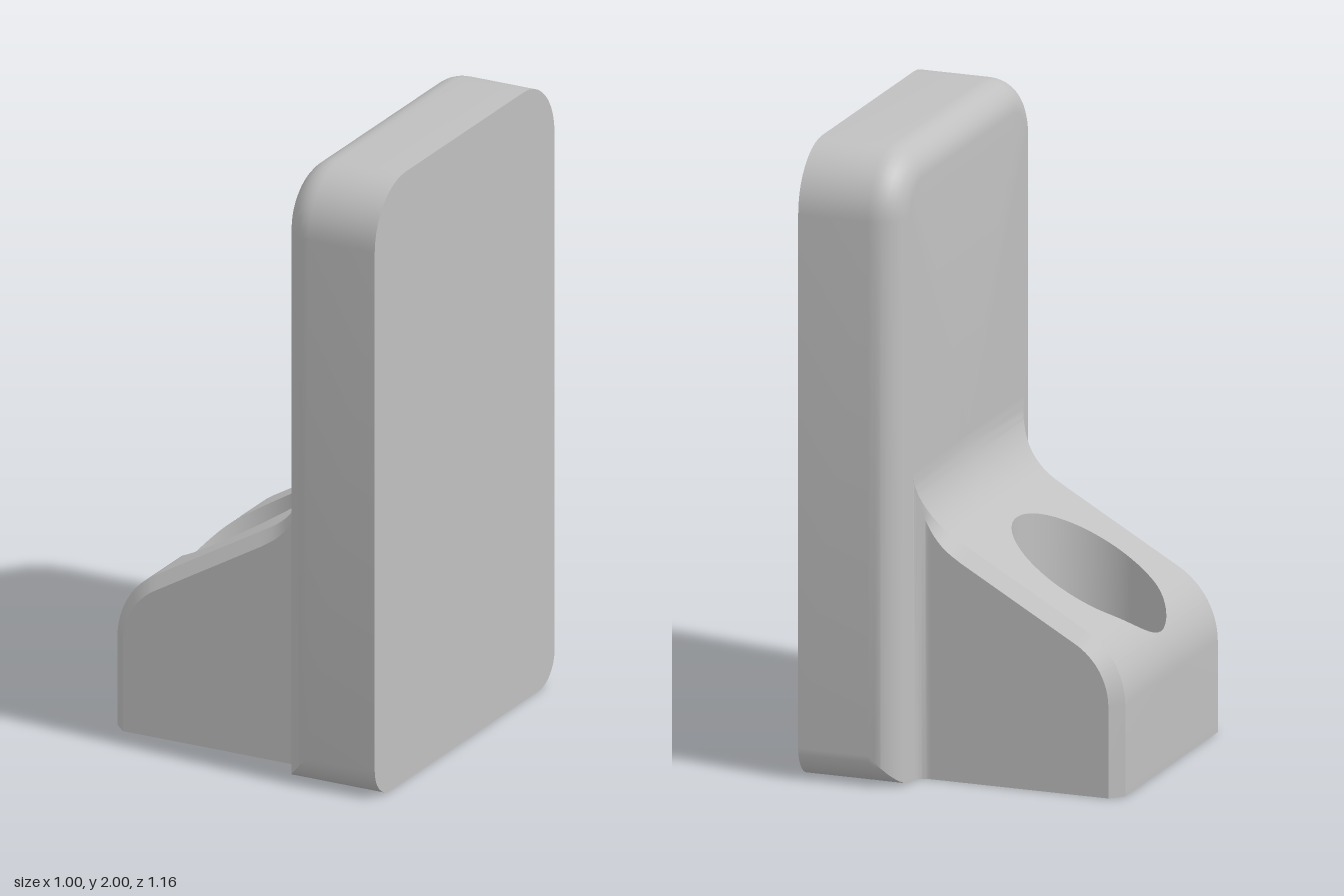
import * as THREE from 'three';
import { toCreasedNormals } from 'three/addons/utils/BufferGeometryUtils.js';

// Skin a list of equal-length point rows; the outside is on the side of column x row.
function skin(rows, { closed = false, mirror = false } = {}) {
  const out = [];
  const tri = (a, b, c) => {
    const [A, B, C] = [a, b, c].map((p) => new THREE.Vector3(...p));
    if (B.clone().sub(A).cross(C.clone().sub(A)).length() < 1e-9) return;
    out.push(...a, ...b, ...c);
    if (mirror) for (const p of [a, c, b]) out.push(p[0], p[1], -p[2]);
  };
  for (let i = 0; i + 1 < rows.length; i++) {
    const r = rows[i], s = rows[i + 1], n = r.length;
    for (let j = 0; j < (closed ? n : n - 1); j++) {
      const k = (j + 1) % n;
      tri(r[j], r[k], s[j]);
      tri(r[k], s[k], s[j]);
    }
  }
  const g = new THREE.BufferGeometry();
  g.setAttribute('position', new THREE.Float32BufferAttribute(out, 3));
  return toCreasedNormals(g, 0.5);
}

const steps = (n, f) => Array.from({ length: n + 1 }, (_, i) => f(i / n));

// Upright plate: sides and top rounded towards -x, lower corners rounded along x.
const HALF = 0.58, FRONT = 0.17, ROUND = 0.1;
function plateGeometry() {
  const outline = (x, d) => {
    const tMax = Math.asin(Math.max(0, 1 - d / ROUND));
    const half = [
      ...steps(8, (t) => [HALF - ROUND + ROUND * Math.sin(t * tMax), ROUND - ROUND * Math.cos(t * tMax)]),
      ...steps(10, (t) => {
        const a = t * Math.PI / 2, r = 0.2 - d;
        return [HALF - 0.2 + r * Math.cos(a), 1.8 + r * Math.sin(a)];
      }),
    ];
    return [...half, ...half.map(([z, y]) => [-z, y]).reverse()].map(([z, y]) => [x, y, z]);
  };
  const back = outline(0.5, 0);
  const rounded = steps(8, (t) => {
    const a = t * Math.PI / 2;
    return outline(FRONT + ROUND * (1 - Math.sin(a)), ROUND * (1 - Math.cos(a)));
  });
  return skin([
    back.map(() => [0.5, 1, 0]), back, ...rounded, back.map(() => [FRONT, 1, 0]),
  ], { closed: true });
}

// Foot profile: convex arc, 30 degree slope, concave arc into the plate.
const R = 0.26, ARC_Y = 0.29, SLOPE = Math.tan(Math.PI / 6);
const X0 = -0.5, X1 = -0.37, X2 = 0.04;
const Y1 = ARC_Y + R * Math.sin(Math.PI / 3), Y2 = Y1 + (X2 - X1) * SLOPE;
const HOLE_X = -0.228, HOLE_R = 0.237, HOLE_FLOOR = 0.2;
const SIDE = 0.425, CHAMFER = 0.04;

function profile(x) {
  if (x < X1) {
    const nx = (x - (X0 + R)) / R, ny = Math.sqrt(Math.max(0, 1 - nx * nx));
    return { y: ARC_Y + R * ny, nx, ny };
  }
  if (x < X2) return { y: Y1 + (x - X1) * SLOPE, nx: -0.5, ny: Math.sqrt(0.75) };
  const cx = FRONT - R, cy = Y2 + R * Math.sin(Math.PI / 3);
  const nx = -(x - cx) / R, ny = Math.sqrt(Math.max(0, 1 - nx * nx));
  return { y: cy - R * ny, nx, ny };
}
const holeHalf = (x) => Math.sqrt(Math.max(0, HOLE_R ** 2 - (x - HOLE_X) ** 2));

// Small fillet widening the foot where it meets the plate
const flare = (x) => {
  const u = Math.min(0.04, Math.max(0, x - (FRONT - 0.04)));
  return 0.04 - Math.sqrt(0.0016 - u * u);
};

function footGeometries() {
  const holeXs = steps(32, (t) => HOLE_X - HOLE_R * Math.cos(t * Math.PI));
  const xs = [
    ...steps(12, (t) => X0 + R - R * Math.cos(t * Math.PI / 3)),
    ...holeXs,
    ...steps(16, (t) => FRONT - R + R * Math.cos((1 - t) * Math.PI / 3)),
  ].sort((a, b) => a - b);

  // Half section: hole rim, top edge, chamfer edge, side foot, floor centre
  const section = (x, { y, nx, ny }) => {
    const c = CHAMFER * (1 - Math.max(0, x / FRONT) ** 2);
    const sx = x - nx * c, z = SIDE + flare(sx);
    return [[x, y, holeHalf(x)], [x, y, z - c], [sx, y - ny * c, z], [sx, 0, z], [sx, 0, 0]];
  };
  const w = SIDE - CHAMFER;
  const rows = [
    [[X0, 0, 0], [X0, 0, w], [X0, 0, w], [X0, 0, w], [X0, 0, 0]],
    section(X0, { y: 0, nx: -1, ny: 0 }),
    ...xs.map((x) => section(x, profile(x))),
  ];
  const wall = holeXs.map((x) => {
    const h = holeHalf(x);
    return [[x, HOLE_FLOOR, h], [x, profile(x).y, h]];
  });
  return [skin(rows, { mirror: true }), skin(wall, { mirror: true })];
}

export function createModel() {
  const model = new THREE.Group();
  model.name = 'bracket';
  const grey = new THREE.MeshStandardMaterial({ color: 0xc0c0c0 });
  grey.name = 'grey';
  const add = (name, geometry) => {
    const mesh = new THREE.Mesh(geometry, grey);
    mesh.name = name;
    model.add(mesh);
    return mesh;
  };

  add('plate', plateGeometry());
  const [foot, wall] = footGeometries();
  add('foot', foot);
  add('holeWall', wall);

  // Stepped bottom of the blind hole
  const step = [[HOLE_R, HOLE_FLOOR], [0.14, HOLE_FLOOR], [0.14, 0.1], [0, 0.1]];
  const lathe = new THREE.LatheGeometry(step.map((p) => new THREE.Vector2(...p)), 64);
  add('holeBottom', toCreasedNormals(lathe, 0.5)).position.x = HOLE_X;
  return model;
}
